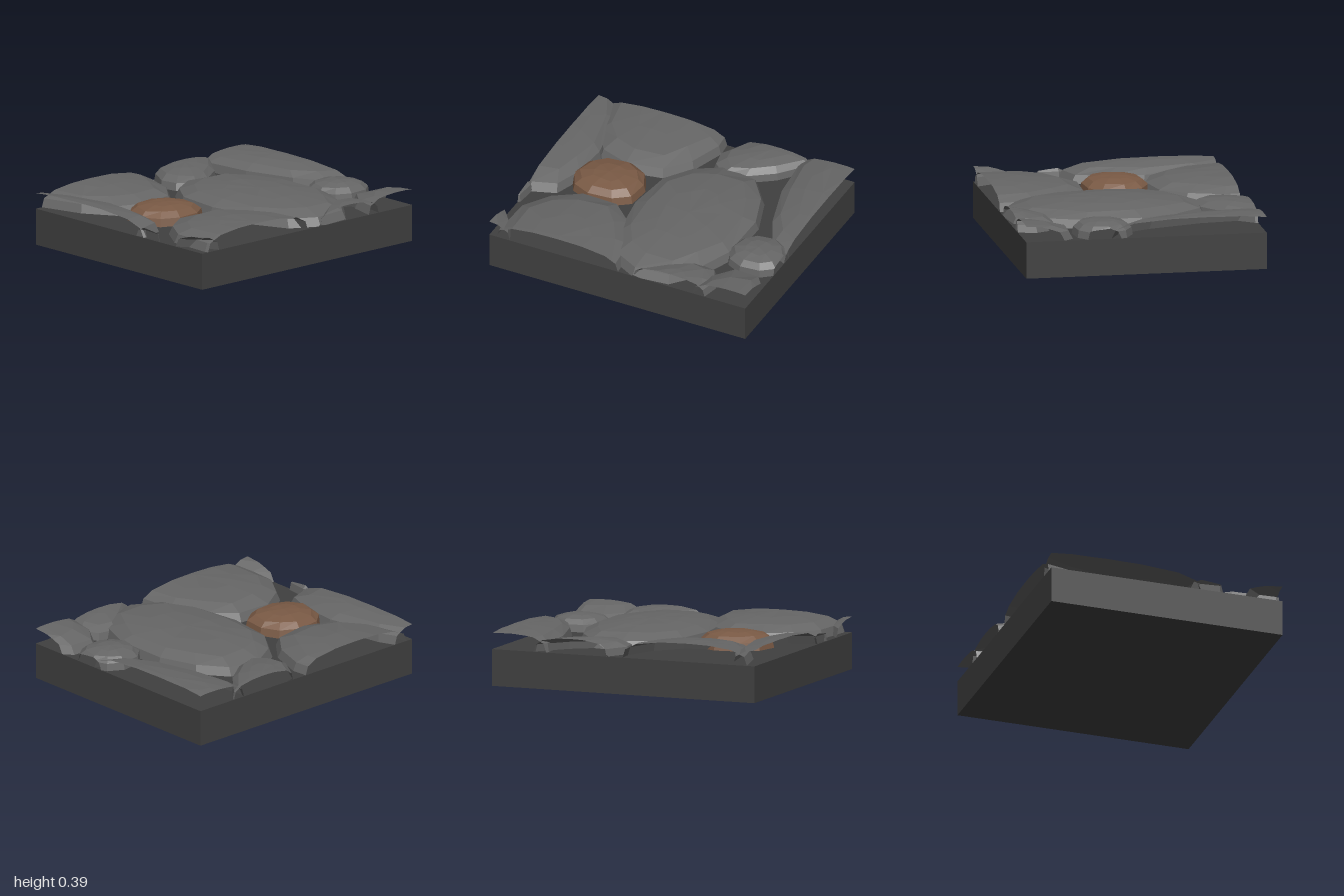
import * as THREE from 'three';

const W = 0.855, D = 1, GROUND = 0.26;

// Dome profile: fraction of the outline radius, fraction of the stone height
const PROFILE = [[1, 0], [0.955, 0.47], [0.77, 0.79], [0.42, 0.95]];

// Stones: rounded ovals with centre, radii, turn, sides and height.
// What overhangs the tile edge reappears on the opposite side.
const STONES = [
  { name: 'centreStone', x: 0.15, z: -0.21, rx: 0.71, rz: 0.45, turn: 0, sides: 13, h: 0.13 },
  { name: 'brownStone', x: -0.055, z: 0.515, rx: 0.24, rz: 0.265, turn: 0, sides: 10, h: 0.12, color: 0x7a5a45 },
  { name: 'sideStone', x: 0.81, z: 0.47, rx: 0.65, rz: 0.475, turn: -0.1, sides: 13, h: 0.13 },
  { name: 'longStone', x: -0.48, z: -0.94, rx: 0.74, rz: 0.32, turn: -0.19, sides: 13, h: 0.13 },
  { name: 'roundStone', x: 0.285, z: -0.82, rx: 0.21, rz: 0.215, turn: 0, sides: 10, h: 0.11 },
  { name: 'cornerStone', x: -0.8, z: -0.37, rx: 0.42, rz: 0.215, turn: 0.79, sides: 11, h: 0.11 },
];

// Slightly squared oval, as offsets from the stone's centre
function outline({ rx, rz, turn, sides }) {
  const soften = (v) => Math.sign(v) * Math.abs(v) ** 0.85;
  return Array.from({ length: sides }, (_, i) => {
    const a = ((i + 0.3) / sides) * Math.PI * 2;
    const r = 1 + 0.025 * Math.sin(i * 2.1 + sides);
    return new THREE.Vector2(rx * r * soften(Math.cos(a)), rz * r * soften(Math.sin(a)))
      .rotateAround(new THREE.Vector2(), turn);
  });
}

// Faceted dome as a list of upward-facing triangles
function domeTriangles(stone) {
  const { x, z, h, sides } = stone;
  const edge = outline(stone);
  const rings = PROFILE.map(([r, f], k) => edge.map((p, i) => {
    const wobble = k > 1 ? 0.03 * Math.sin(i * 2.4 + k * 1.7) : 0;
    return new THREE.Vector3(x + p.x * (r + wobble), GROUND + h * (f - wobble * 0.6), z + p.y * (r + wobble));
  }));
  const top = new THREE.Vector3(x, GROUND + h, z);
  const tris = [];
  for (let i = 0; i < sides; i++) {
    const j = (i + 1) % sides;
    for (let k = 0; k < rings.length - 1; k++) {
      const a = rings[k], b = rings[k + 1];
      tris.push([a[i], b[i], a[j]], [a[j], b[i], b[j]]);
    }
    const last = rings[rings.length - 1];
    tris.push([last[i], top, last[j]]);
  }
  return tris;
}

// Keep the part of a polygon where sign * p[axis] <= limit
function clip(poly, axis, sign, limit) {
  const out = [];
  poly.forEach((p, i) => {
    const q = poly[(i + 1) % poly.length];
    const dp = limit - sign * p[axis], dq = limit - sign * q[axis];
    if (dp >= 0) out.push(p);
    if (dp * dq < 0) out.push(p.clone().lerp(q, dp / (dp - dq)));
  });
  return out;
}

// One copy of a stone, shifted by whole tiles and trimmed to the slab
function trimmedGeometry(tris, dx, dz) {
  const shift = new THREE.Vector3(dx * 2 * W, 0, dz * 2 * D);
  const points = [];
  for (const tri of tris) {
    let poly = tri.map((p) => p.clone().add(shift));
    for (const s of [1, -1]) poly = clip(clip(poly, 'x', s, W), 'z', s, D);
    for (let i = 1; i < poly.length - 1; i++) points.push(poly[0], poly[i], poly[i + 1]);
  }
  if (!points.length) return null;
  const geometry = new THREE.BufferGeometry().setFromPoints(points);
  geometry.computeVertexNormals();
  return geometry;
}

export function createModel() {
  const model = new THREE.Group();
  model.name = 'stonePavingTile';

  // Ground slab
  const slab = new THREE.Mesh(
    new THREE.BoxGeometry(2 * W, GROUND, 2 * D),
    new THREE.MeshStandardMaterial({ color: 0x404040 }));
  slab.name = 'slab';
  slab.position.y = GROUND / 2;
  model.add(slab);

  // Cobbles, repeated across the tile edges
  for (const stone of STONES) {
    const group = new THREE.Group();
    group.name = stone.name;
    const material = new THREE.MeshStandardMaterial({
      color: stone.color ?? 0x666666, flatShading: true, side: THREE.DoubleSide });
    const tris = domeTriangles(stone);
    for (const dx of [-1, 0, 1]) for (const dz of [-1, 0, 1]) {
      const geometry = trimmedGeometry(tris, dx, dz);
      if (!geometry) continue;
      const mesh = new THREE.Mesh(geometry, material);
      mesh.name = stone.name + 'Piece';
      group.add(mesh);
    }
    model.add(group);
  }
  return model;
}
